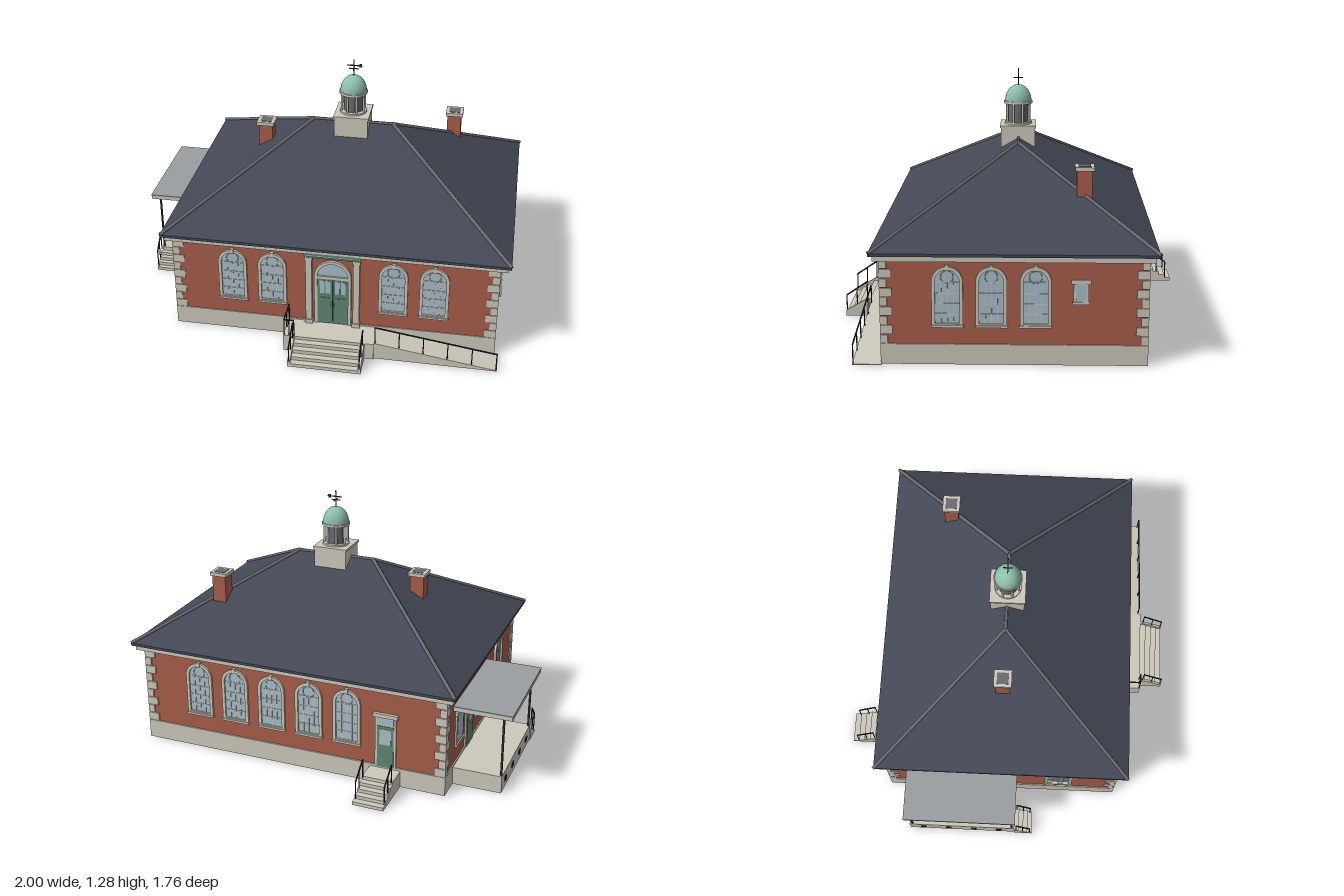
import * as THREE from 'three';

const mat = (name, color) => {
  const m = new THREE.MeshStandardMaterial({ color });
  m.name = name;
  return m;
};

export function createModel() {
  const brick = mat('brick', 0xa85e4b), stone = mat('pale stone', 0xcdc8bb), slate = mat('slate', 0x434855);
  const green = mat('door green', 0x5f8773), copper = mat('copper patina', 0x8fbfae), metal = mat('canopy grey', 0x9a9ea2);
  const glass = mat('glass', 0xa9bfcc), iron = mat('black iron', 0x2c3034), lead = mat('lead grey', 0x6a6b70);

  const model = new THREE.Group();
  model.name = 'building';
  const add = (name, geo, m, parent = model) => {
    const mesh = new THREE.Mesh(geo, m);
    mesh.name = name;
    parent.add(mesh);
    return mesh;
  };
  // Box from its minimum and maximum corners
  const box = (name, m, x0, x1, y0, y1, z0, z1, parent) => {
    const b = add(name, new THREE.BoxGeometry(x1 - x0, y1 - y0, z1 - z0), m, parent);
    b.position.set((x0 + x1) / 2, (y0 + y1) / 2, (z0 + z1) / 2);
    return b;
  };
  // Straight round bar between two points
  const bar = (name, m, a, b, r = 0.003, sides = 6) => {
    const p = new THREE.Vector3(...a), d = new THREE.Vector3(...b).sub(p);
    const c = add(name, new THREE.CylinderGeometry(r, r, d.length(), sides), m);
    c.position.copy(p).addScaledVector(d, 0.5);
    c.quaternion.setFromUnitVectors(new THREE.Vector3(0, 1, 0), d.normalize());
  };
  const group = (name, x, y, z, ry = 0) => {
    const g = new THREE.Group();
    g.name = name;
    g.position.set(x, y, z);
    g.rotation.y = ry;
    model.add(g);
    return g;
  };

  const CX = 0.115, CZ = -0.02, X0 = -0.705, X1 = 0.935, Z0 = -0.637, Z1 = 0.602;

  // Hollow foundation with a raised floor, and the brick walls
  const rect = (T, hx, hz) => {
    const s = new T();
    s.moveTo(-hx, -hz); s.lineTo(hx, -hz); s.lineTo(hx, hz); s.lineTo(-hx, hz); s.closePath();
    return s;
  };
  const ring = rect(THREE.Shape, 0.826, 0.626);
  ring.holes.push(rect(THREE.Path, 0.806, 0.606));
  const ringGeo = new THREE.ExtrudeGeometry(ring, { depth: 0.1, bevelEnabled: false }).rotateX(-Math.PI / 2);
  add('foundation', ringGeo, stone).position.set(CX, 0, CZ);
  box('floor', stone, X0, X1, 0.045, 0.099, Z0, Z1);
  box('walls', brick, X0, X1, 0.099, 0.52, Z0, Z1);

  // Corner quoins, alternating long and short
  for (const sx of [-1, 1]) for (const sz of [-1, 1]) for (let i = 0; i < 9; i++) {
    const lx = i % 2 ? 0.035 : 0.058, lz = i % 2 ? 0.058 : 0.035, h = 0.412 / 9;
    const q = add('quoin', new THREE.BoxGeometry(lx, h - 0.004, lz), stone);
    q.position.set(CX + sx * (0.826 - lx / 2), 0.1 + h * (i + 0.5), CZ + sz * (0.626 - lz / 2));
  }

  // Cornice and hipped roof
  box('cornice', stone, CX - 0.86, CX + 0.86, 0.512, 0.54, CZ - 0.65, CZ + 0.65);
  box('eaves', slate, CX - 0.876, CX + 0.876, 0.54, 0.554, CZ - 0.668, CZ + 0.668);
  const E = [[-0.76, 0.645], [0.99, 0.645], [0.99, -0.688], [-0.76, -0.688]].map(([x, z]) => [x, 0.554, z]);
  const R = [[-0.095, 0.938, CZ - 0.005], [0.325, 0.938, CZ - 0.005]];
  const tris = [E[0], E[1], R[1], E[0], R[1], R[0], E[1], E[2], R[1],
    E[2], E[3], R[0], E[2], R[0], R[1], E[3], E[0], R[0]];
  const roofGeo = new THREE.BufferGeometry();
  roofGeo.setAttribute('position', new THREE.Float32BufferAttribute(tris.flat(), 3));
  roofGeo.computeVertexNormals();
  add('roof', roofGeo, slate);
  E.forEach((e, i) => bar('hip cap', lead, e, R[i === 1 || i === 2 ? 1 : 0], 0.01));
  bar('ridge cap', lead, R[0], R[1], 0.008);

  // Round-topped outline, base at y0, spring line at ys
  const arch = (T, r, y0, ys) => {
    const s = new T();
    s.moveTo(-r, y0); s.lineTo(r, y0); s.lineTo(r, ys);
    s.absarc(0, ys, r, 0, Math.PI, false);
    s.lineTo(-r, y0);
    return s;
  };
  const archFrame = (r, ri, y0, yi, ys, depth) => {
    const s = arch(THREE.Shape, r, y0, ys);
    s.holes.push(arch(THREE.Path, ri, yi, ys));
    return new THREE.ExtrudeGeometry(s, { depth, bevelEnabled: false, curveSegments: 16 });
  };
  const frameGeo = archFrame(0.073, 0.057, 0.19, 0.204, 0.407, 0.012);
  const paneGeo = new THREE.ShapeGeometry(arch(THREE.Shape, 0.058, 0.2, 0.407), 16);
  const rimGeo = new THREE.TorusGeometry(0.03, 0.002, 4, 20);
  const archWindow = (x, z, ry) => {
    const g = group('arched window', x, 0, z, ry);
    add('frame', frameGeo, stone, g);
    add('pane', paneGeo, glass, g).position.z = 0.003;
    for (const u of [-0.028, 0, 0.028]) box('muntin', stone, u - 0.0015, u + 0.0015, 0.2, 0.405, 0.002, 0.006, g);
    for (const v of [0.25, 0.3, 0.35, 0.405]) box('glazing bar', stone, -0.057, 0.057, v - 0.002, v + 0.002, 0.002, 0.006, g);
    add('round light', rimGeo, stone, g).position.set(0, 0.43, 0.004);
    box('sill', stone, -0.076, 0.076, 0.186, 0.197, 0, 0.018, g);
    box('keystone', stone, -0.009, 0.009, 0.463, 0.488, 0, 0.016, g);
  };
  const squareWindow = (x, z, ry, w, y0, y1) => {
    const g = group('square window', x, 0, z, ry);
    box('surround', stone, -w / 2, w / 2, y0, y1, 0, 0.008, g);
    box('pane', glass, -w / 2 + 0.012, w / 2 - 0.012, y0 + 0.014, y1 - 0.02, 0, 0.01, g);
    box('lintel', stone, -w / 2 - 0.01, w / 2 + 0.01, y1 - 0.02, y1, 0, 0.014, g);
    box('sill', stone, -w / 2 - 0.005, w / 2 + 0.005, y0 - 0.004, y0 + 0.008, 0, 0.014, g);
  };
  const plainDoor = (x, z, ry, w) => {
    const g = group('plain door', x, 0, z, ry);
    box('door frame', stone, -w / 2, w / 2, 0.095, 0.38, 0, 0.008, g);
    box('door leaf', green, -w / 2 + 0.012, w / 2 - 0.012, 0.095, 0.32, 0, 0.011, g);
    box('door pane', glass, -w / 2 + 0.025, w / 2 - 0.025, 0.22, 0.305, 0, 0.013, g);
    box('transom pane', glass, -w / 2 + 0.012, w / 2 - 0.012, 0.328, 0.365, 0, 0.01, g);
    box('door head', stone, -w / 2 - 0.01, w / 2 + 0.01, 0.368, 0.388, 0, 0.016, g);
  };

  const H = Math.PI / 2;
  for (const x of [-0.4, -0.195, 0.42, 0.625]) archWindow(x, Z1, 0);
  for (const x of [0.625, 0.42, 0.215, 0.01, -0.195]) archWindow(x, Z0, Math.PI);
  for (const z of [0.29, 0.085, -0.12]) archWindow(X1, z, H);
  squareWindow(X1, -0.33, H, 0.07, 0.305, 0.42);
  archWindow(X0, 0.29, -H);
  for (const z of [-0.07, -0.42]) squareWindow(X0, z, -H, 0.12, 0.19, 0.38);
  plainDoor(X0, -0.245, -H, 0.13);
  plainDoor(-0.4, Z0, Math.PI, 0.11);

  // Main entrance
  const ent = group('main entrance', CX, 0, Z1);
  add('door arch', archFrame(0.094, 0.078, 0.09, 0.091, 0.375, 0.014), stone, ent);
  add('fanlight', new THREE.ShapeGeometry(arch(THREE.Shape, 0.079, 0.37, 0.375), 16), glass, ent).position.z = 0.004;
  box('transom', stone, -0.08, 0.08, 0.363, 0.378, 0, 0.013, ent);
  for (const s of [-1, 1]) {
    box('door leaf', green, Math.min(s * 0.001, s * 0.078), Math.max(s * 0.001, s * 0.078), 0.09, 0.365, 0, 0.008, ent);
    for (const u of [0.024, 0.054]) box('door pane', glass, s * u - 0.012, s * u + 0.012, 0.275, 0.35, 0, 0.01, ent);
    box('door panel', green, s * 0.039 - 0.025, s * 0.039 + 0.025, 0.12, 0.25, 0, 0.011, ent);
    box('handle', stone, s * 0.008 - 0.002, s * 0.008 + 0.002, 0.2, 0.225, 0, 0.015, ent);
    box('pilaster', stone, s * 0.121 - 0.016, s * 0.121 + 0.016, 0.09, 0.49, 0, 0.022, ent);
    box('pilaster base', stone, s * 0.121 - 0.02, s * 0.121 + 0.02, 0.09, 0.115, 0, 0.027, ent);
    box('capital', stone, s * 0.121 - 0.02, s * 0.121 + 0.02, 0.475, 0.49, 0, 0.027, ent);
  }
  box('entablature', green, -0.13, 0.13, 0.49, 0.503, 0, 0.026, ent);
  box('entablature cap', copper, -0.145, 0.145, 0.503, 0.514, 0, 0.034, ent);

  // Solid flight of steps from z0 running in direction d
  const steps = (x0, x1, z0, d, len, h, n) => {
    for (let i = 0; i < n; i++) {
      const a = z0 + d * len * i / n, b = z0 + d * len * (i + 1) / n;
      box('step', stone, x0, x1, 0, h * (n - i) / n, Math.min(a, b), Math.max(a, b));
    }
  };
  // Sloped stair handrail with posts at both ends and the middle
  const stairRail = (x, za, zb, ya, yb, drop) => {
    bar('handrail', iron, [x, ya, za], [x, yb, zb], 0.004);
    for (const t of [0, 0.5, 1]) {
      const y = ya + (yb - ya) * t, z = za + (zb - za) * t;
      bar('rail post', iron, [x, Math.max(0, y - drop), z], [x, y, z]);
    }
  };

  // Front landing, steps and cheek walls
  box('front landing', stone, -0.115, 0.345, 0, 0.092, Z1, 0.75);
  steps(-0.055, 0.285, 0.75, 1, 0.127, 0.075, 4);
  const cheek = new THREE.Shape([[0.75, 0], [0.877, 0], [0.877, 0.03], [0.77, 0.092], [0.75, 0.092]]
    .map(([z, y]) => new THREE.Vector2(-z, y)));
  const cheekGeo = new THREE.ExtrudeGeometry(cheek, { depth: 0.014, bevelEnabled: false }).rotateY(H);
  for (const x of [-0.069, 0.285]) {
    add('step cheek', cheekGeo, stone).position.x = x;
    stairRail(x + 0.007, 0.765, 0.873, 0.185, 0.112, 0.095);
  }
  bar('landing rail', iron, [-0.11, 0.185, 0.615], [-0.11, 0.185, 0.745], 0.004);
  bar('landing rail', iron, [-0.11, 0.185, 0.745], [-0.06, 0.185, 0.745], 0.004);
  for (const [x, z] of [[-0.11, 0.615], [-0.11, 0.68], [-0.11, 0.745], [-0.085, 0.745], [-0.06, 0.745]])
    bar('rail post', iron, [x, 0.09, z], [x, 0.185, z]);

  // Ramp and its rail
  const ramp = new THREE.Shape([[0.345, 0], [0.96, 0], [0.96, 0.004], [0.345, 0.092]].map(p => new THREE.Vector2(...p)));
  const rampGeo = new THREE.ExtrudeGeometry(ramp, { depth: 0.74 - Z1, bevelEnabled: false });
  add('ramp', rampGeo, stone).position.z = Z1;
  bar('ramp rail', iron, [0.35, 0.185, 0.735], [0.955, 0.1, 0.735], 0.004);
  for (let i = 0; i < 6; i++) {
    const x = 0.35 + 0.121 * i, y = 0.185 - 0.017 * i;
    bar('rail post', iron, [x, y - 0.095, 0.735], [x, y, 0.735]);
  }

  // Back landing, steps and rails
  box('back landing', stone, -0.48, -0.32, 0, 0.088, -0.755, Z0);
  steps(-0.48, -0.32, -0.755, -1, 0.13, 0.07, 4);
  for (const x of [-0.474, -0.326]) stairRail(x, -0.757, -0.855, 0.183, 0.11, 0.1);

  // Side porch with canopy, posts, vents and steps
  box('porch deck', stone, -0.96, X0, 0, 0.092, -0.52, 0.06);
  box('canopy edge', stone, -0.998, X0, 0.405, 0.425, -0.524, 0.062);
  box('canopy roof', metal, -1, X0, 0.425, 0.431, -0.526, 0.064);
  for (const z of [-0.505, 0.045]) bar('canopy post', iron, [-0.953, 0.09, z], [-0.953, 0.406, z], 0.006, 8);
  for (let i = 0; i < 4; i++) box('porch vent', iron, -0.964, -0.955, 0.035, 0.06, -0.46 + i * 0.14, -0.43 + i * 0.14);
  steps(-0.965, -0.845, 0.06, 1, 0.097, 0.07, 4);
  stairRail(-0.848, 0.07, 0.145, 0.185, 0.115, 0.1);
  stairRail(-0.962, 0.07, 0.145, 0.185, 0.115, 0.1);

  // Chimneys
  for (const [x, z, top] of [[-0.35, -0.027, 0.908], [0.625, -0.35, 0.888]]) {
    box('chimney', brick, x - 0.037, x + 0.037, 0.6, top - 0.016, z - 0.037, z + 0.037);
    box('chimney cap', stone, x - 0.046, x + 0.046, top - 0.018, top, z - 0.046, z + 0.046);
    box('chimney flue', lead, x - 0.03, x + 0.03, top - 0.01, top + 0.002, z - 0.03, z + 0.03);
  }

  // Cupola
  const cup = group('cupola', CX, 0, CZ - 0.002);
  const cyl = (name, m, r, y0, y1, sides = 32) =>
    add(name, new THREE.CylinderGeometry(r, r, y1 - y0, sides), m, cup).position.set(0, (y0 + y1) / 2, 0);
  box('plinth', stone, -0.087, 0.087, 0.85, 0.99, -0.087, 0.087, cup);
  box('plinth cap', stone, -0.092, 0.092, 0.988, 1, -0.092, 0.092, cup);
  cyl('lantern base', stone, 0.07, 1, 1.01);
  cyl('lantern louvres', lead, 0.05, 1.01, 1.11, 16);
  for (let i = 0; i < 8; i++) {
    const a = (i + 0.5) * Math.PI / 4;
    const c = add('lantern column', new THREE.CylinderGeometry(0.006, 0.006, 0.1, 10), stone, cup);
    c.position.set(0.061 * Math.cos(a), 1.06, 0.061 * Math.sin(a));
  }
  cyl('lantern cornice', stone, 0.073, 1.105, 1.118);
  const dome = add('dome', new THREE.SphereGeometry(0.068, 32, 12, 0, Math.PI * 2, 0, H), copper, cup);
  dome.position.y = 1.118;
  dome.scale.y = 1.22;

  // Weather vane
  cyl('vane rod', iron, 0.003, 1.195, 1.285, 6);
  box('vane arrow', iron, -0.035, 0.045, 1.252, 1.257, -0.002, 0.002, cup);
  box('vane tail', iron, 0.028, 0.042, 1.246, 1.263, -0.002, 0.002, cup);
  box('vane arm', iron, -0.002, 0.002, 1.235, 1.239, -0.025, 0.025, cup);
  box('vane arm', iron, -0.025, 0.025, 1.235, 1.239, -0.002, 0.002, cup);

  return model;
}
